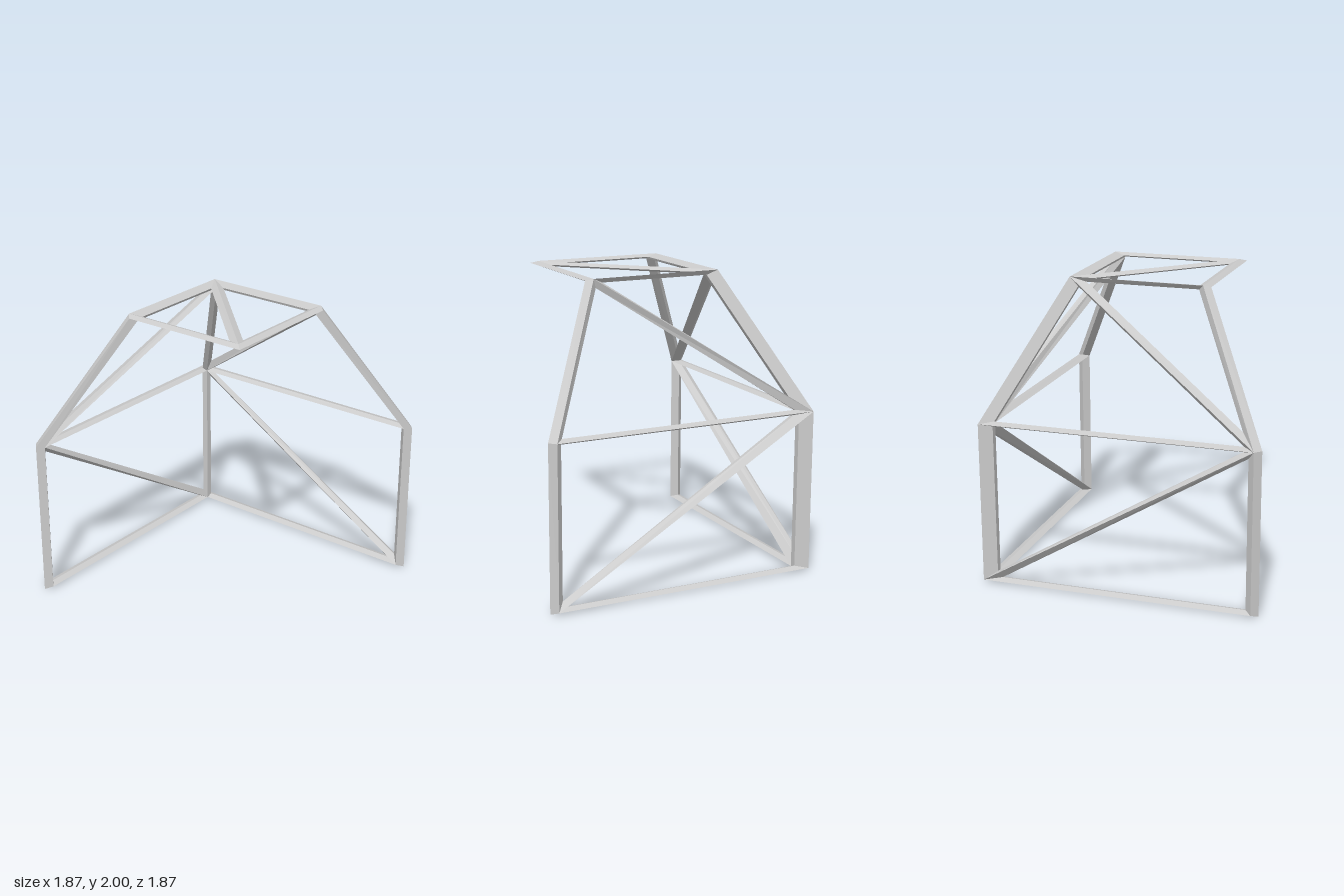
import * as THREE from 'three';

// Bar half-thickness; the bars are flattened vertically by SQUASH
const T = 0.0425, SQUASH = 2.6;
const W = 0.89, R = 0.43;                 // half-width at the walls and at the roof
const Y0 = 0.0163, Y1 = 1.097, Y2 = 1.984; // floor, eaves, roof heights

// Joints: a = back corner, b = back end, c = front end; t.. = roof corners
const joints = {
  a0: [-W, Y0, -W], b0: [W, Y0, -W], c0: [-W, Y0, W],
  a1: [-W, Y1, -W], b1: [W, Y1, -W], c1: [-W, Y1, W],
  ta: [-R, Y2, -R], tb: [R, Y2, -R], tc: [-R, Y2, R], td: [R, Y2, R],
};

// Triangular bays of the frame, wound to face outwards
const bays = [
  'a0 a1 b0', 'a1 b1 b0',   // back wall
  'c0 c1 a0', 'c1 a1 a0',   // side wall
  'a1 ta tb', 'a1 tb b1',   // back slope
  'c1 tc ta', 'c1 ta a1',   // side slope
  'ta tc td', 'ta td tb',   // roof
].map((s) => s.split(' '));

// Bars between joints, by name
const bars = {
  post: ['a0 a1', 'b0 b1', 'c0 c1'],
  floorRail: ['a0 b0', 'c0 a0'],
  eavesRail: ['a1 b1', 'c1 a1'],
  wallBrace: ['a1 b0', 'c1 a0'],
  rafter: ['a1 ta', 'b1 tb', 'c1 tc'],
  slopeBrace: ['a1 tb', 'c1 ta'],
  roofRail: ['ta tb', 'ta tc', 'tb td', 'tc td'],
  roofBrace: ['ta td'],
};

export function createModel() {
  const P = {};
  for (const [k, p] of Object.entries(joints)) P[k] = new THREE.Vector3(p[0], p[1] * SQUASH, p[2]);
  const dir = (i, j) => P[j].clone().sub(P[i]).normalize();

  const normalOf = (f) => dir(f[0], f[1]).cross(dir(f[0], f[2])).normalize();
  const bayWith = (i, j) => bays.find((f) => f.some((v, k) => v === i && f[(k + 1) % 3] === j));
  // In-plane direction from edge i-j into its bay
  const inward = (f, i, j) => normalOf(f).cross(dir(i, j));
  const mitre = (v, u, w, d) =>
    P[v].clone().addScaledVector(u.clone().add(w), d / (1 + u.dot(w)));

  // Mitred inner corner of a bay at joint v
  function inset(f, v) {
    const k = f.indexOf(v), next = f[(k + 1) % 3], prev = f[(k + 2) % 3];
    return mitre(v, inward(f, v, next), inward(f, prev, v), T);
  }

  // Mitred outer corner at joint v along the open border of the frame
  function border(v) {
    const dirs = [];
    for (const f of bays) {
      f.forEach((i, k) => {
        const j = f[(k + 1) % 3];
        if ((i === v || j === v) && !bayWith(j, i)) dirs.push(inward(f, i, j));
      });
    }
    return mitre(v, dirs[0], dirs[1], -T);
  }

  // Offset at a joint, scaled to keep the thickness even
  function offset(v) {
    const n = new THREE.Vector3(), parts = [];
    for (const f of bays.filter((b) => b.includes(v))) {
      const k = f.indexOf(v);
      const angle = dir(v, f[(k + 1) % 3]).angleTo(dir(v, f[(k + 2) % 3]));
      parts.push([normalOf(f), angle]);
      n.addScaledVector(normalOf(f), angle);
    }
    n.normalize();
    let sum = 0, total = 0;
    for (const [m, a] of parts) { sum += n.dot(m) * a; total += a; }
    return n.multiplyScalar((T * total) / sum);
  }

  // Four-sided section of a bar at joint v
  function section(v, left, right) {
    const n = offset(v);
    return [
      P[v].clone().add(n), inset(left, v),
      P[v].clone().sub(n), right ? inset(right, v) : border(v),
    ];
  }

  function barGeometry(i, j) {
    if (!bayWith(i, j)) [i, j] = [j, i];
    const left = bayWith(i, j), right = bayWith(j, i);
    const s = section(i, left, right), e = section(j, left, right);
    const pts = [];
    for (let k = 0; k < 4; k++) {
      const m = (k + 1) % 4;
      pts.push(s[k], e[k], e[m], s[k], e[m], s[m]);
    }
    const g = new THREE.BufferGeometry().setFromPoints(pts);
    g.scale(1, 1 / SQUASH, 1);
    g.computeVertexNormals();
    return g;
  }

  const material = new THREE.MeshStandardMaterial({ color: 0xcccccc, flatShading: true });
  const model = new THREE.Group();
  model.name = 'bracedFrame';
  for (const [name, list] of Object.entries(bars)) {
    for (const bar of list) {
      const mesh = new THREE.Mesh(barGeometry(...bar.split(' ')), material);
      mesh.name = name;
      model.add(mesh);
    }
  }
  return model;
}
